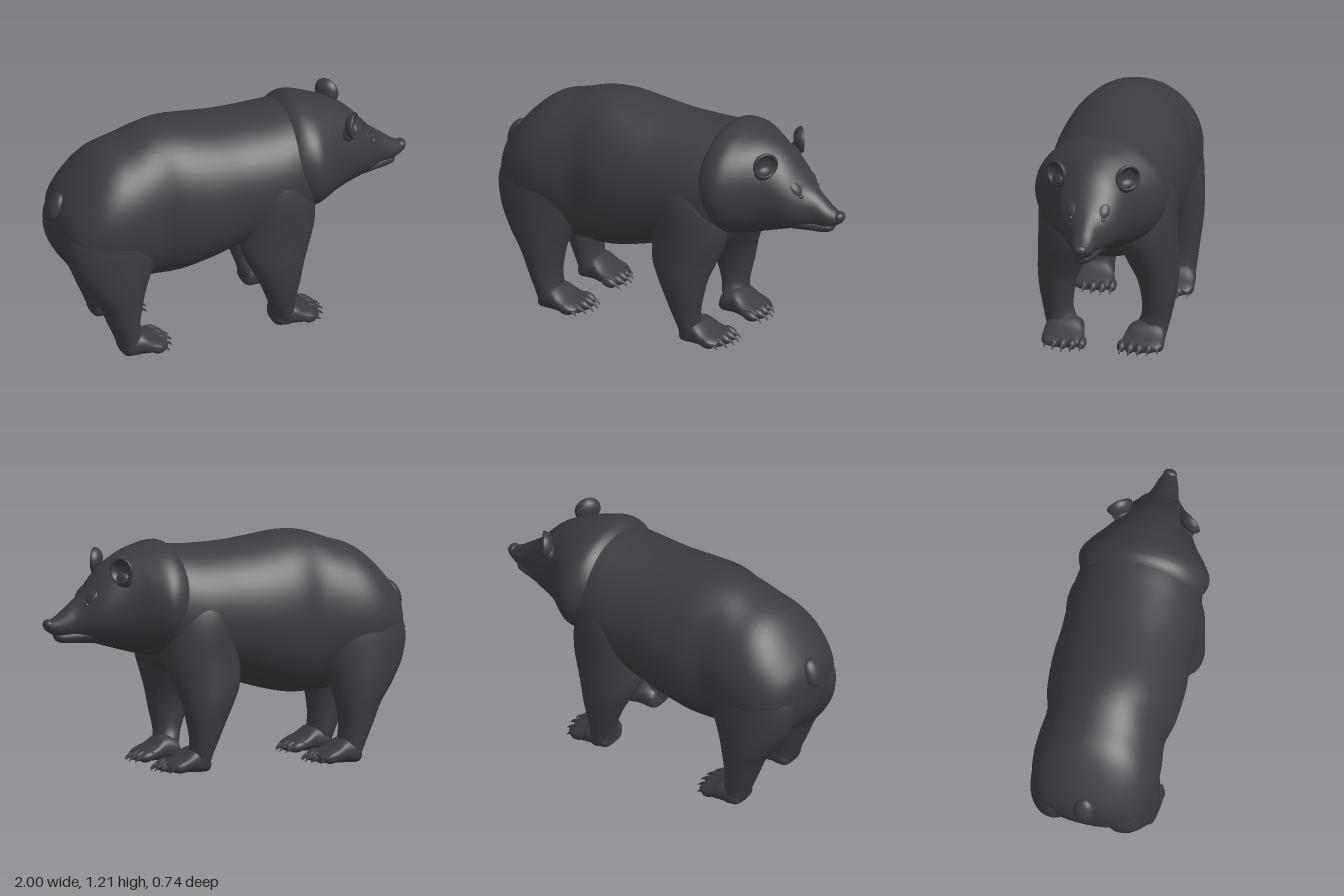
import * as THREE from 'three';

const fur = new THREE.MeshStandardMaterial({ color: 0x3c3b41 });
fur.name = 'charcoal fur';

// Catmull-Rom blend between the listed cross-sections
function resample(rows, steps) {
  const out = [];
  for (let i = 0; i < rows.length - 1; i++) {
    const [a, b, c, d] = [rows[Math.max(i - 1, 0)], rows[i], rows[i + 1], rows[Math.min(i + 2, rows.length - 1)]];
    for (let s = 0; s < steps; s++) {
      const t = s / steps;
      out.push(b.map((_, k) => b[k] + 0.5 * t * (c[k] - a[k]
        + t * (2 * a[k] - 5 * b[k] + 4 * c[k] - d[k] + t * (3 * (b[k] - c[k]) + d[k] - a[k])))));
    }
  }
  out.push(rows[rows.length - 1]);
  return out;
}

// Skin oval sections [t, uLow, uHigh, zLow, zHigh]; t runs along 'x' (u = y) or 'y' (u = x)
function loft(name, axis, rows, { power = 1, sides = 40, steps = 4 } = {}) {
  const rings = resample(rows, steps), pos = [], idx = [];
  const put = (t, u, z) => (axis === 'x' ? pos.push(t, u, z) : pos.push(u, t, z));
  const bend = v => Math.sign(v) * Math.abs(v) ** power;
  for (const [t, u0, u1, z0, z1] of rings) {
    for (let j = 0; j < sides; j++) {
      const a = (j / sides) * Math.PI * 2;
      put(t, (u0 + u1) / 2 + (u1 - u0) / 2 * bend(Math.cos(a)), (z0 + z1) / 2 + (z1 - z0) / 2 * bend(Math.sin(a)));
    }
  }
  const tri = (a, b, c) => (axis === 'x' ? idx.push(a, b, c) : idx.push(a, c, b));
  const n = rings.length;
  for (let i = 0; i < n - 1; i++) {
    for (let j = 0; j < sides; j++) {
      const k = (j + 1) % sides, a = i * sides + j, b = i * sides + k;
      tri(a, b, a + sides);
      tri(b, b + sides, a + sides);
    }
  }
  for (const i of [0, n - 1]) {
    const [t, u0, u1, z0, z1] = rings[i], m = pos.length / 3;
    put(t, (u0 + u1) / 2, (z0 + z1) / 2);
    for (let j = 0; j < sides; j++) {
      const a = i * sides + j, b = i * sides + (j + 1) % sides;
      if (i === 0) tri(m, b, a); else tri(m, a, b);
    }
  }
  const geo = new THREE.BufferGeometry();
  geo.setAttribute('position', new THREE.Float32BufferAttribute(pos, 3));
  geo.setIndex(idx);
  geo.computeVertexNormals();
  const mesh = new THREE.Mesh(geo, fur);
  mesh.name = name;
  return mesh;
}

// Sections symmetric about z = 0: [x, bottom, top, halfWidth]
const centred = rows => rows.map(([x, lo, hi, w]) => [x, lo, hi, -w, w]);
// Mirror side sections onto either flank
const flank = (rows, s) => rows.map(([t, a, b, z0, z1]) => (s > 0 ? [t, a, b, z0, z1] : [t, a, b, -z1, -z0]));

function blob(name, [x, y, z], [rx, ry, rz], tilt = 0) {
  const mesh = new THREE.Mesh(new THREE.SphereGeometry(1, 24, 16), fur);
  mesh.name = name;
  mesh.position.set(x, y, z);
  mesh.scale.set(rx, ry, rz);
  mesh.rotation.z = tilt;
  return mesh;
}

// Paw with five toes and curved claws, heel at x
function paw(name, x, s) {
  const g = new THREE.Group();
  g.name = name;
  g.add(loft('sole', 'x', flank([
    [0, 0.02, 0.07, 0.15, 0.27], [0.02, 0.006, 0.12, 0.125, 0.3], [0.09, 0.008, 0.14, 0.115, 0.315],
    [0.15, 0.01, 0.1, 0.1, 0.32], [0.2, 0.012, 0.075, 0.095, 0.318], [0.235, 0.02, 0.055, 0.12, 0.29],
  ].map(([t, ...r]) => [t + x, ...r]), s), { power: 0.8 }));
  for (let i = 0; i < 5; i++) {
    const z = s * (0.105 + i * 0.048), tx = x + 0.222 - 0.008 * (i - 1.5) ** 2;
    g.add(blob('toe', [tx, 0.042, z], [0.045, 0.026, 0.024], -0.3));
    const curve = new THREE.QuadraticBezierCurve3(new THREE.Vector3(tx + 0.015, 0.042, z),
      new THREE.Vector3(tx + 0.05, 0.042, z), new THREE.Vector3(tx + 0.07, 0.016, z));
    const geo = new THREE.TubeGeometry(curve, 8, 0.015, 8);
    const p = geo.attributes.position;
    for (let v = 0; v < p.count; v++) { // taper toward the tip
      const t = Math.floor(v / 9) / 8, c = curve.getPointAt(t);
      const q = new THREE.Vector3().fromBufferAttribute(p, v).lerp(c, t * 0.9);
      p.setXYZ(v, q.x, q.y, q.z);
    }
    geo.computeVertexNormals();
    const claw = new THREE.Mesh(geo, fur);
    claw.name = 'claw';
    g.add(claw);
  }
  return g;
}

// Rounded cupped ear: a lathed bowl opening forward, sunk into the skull
function ear(s) {
  const profile = [[0, -0.032], [0.035, -0.028], [0.058, -0.014], [0.069, 0.006], [0.068, 0.016],
    [0.06, 0.018], [0.052, 0.008], [0.04, -0.004], [0.02, -0.01], [0, -0.011]].map(p => new THREE.Vector2(...p));
  const geo = new THREE.LatheGeometry(new THREE.SplineCurve(profile).getPoints(30), 36);
  geo.rotateX(Math.PI / 2);
  const bowl = new THREE.Mesh(geo, fur);
  bowl.name = 'earBowl';
  const g = new THREE.Group();
  g.name = s > 0 ? 'rightEar' : 'leftEar';
  g.add(bowl, blob('earRoot', [0, -0.05, -0.015], [0.05, 0.04, 0.032]));
  g.position.set(0.63, 1.077, s * 0.183);
  g.rotation.y = s > 0 ? 0.95 : Math.PI - 0.95;
  return g;
}

export function createModel() {
  const bear = new THREE.Group();
  bear.name = 'bear';

  bear.add(loft('torso', 'x', centred([
    [-0.957, 0.7, 0.79, 0.06], [-0.945, 0.62, 0.85, 0.15], [-0.9, 0.51, 0.925, 0.25], [-0.8, 0.43, 1.04, 0.31],
    [-0.7, 0.39, 1.115, 0.33], [-0.58, 0.375, 1.155, 0.328], [-0.45, 0.36, 1.2, 0.315], [-0.32, 0.365, 1.21, 0.345],
    [-0.15, 0.405, 1.187, 0.355], [0, 0.45, 1.17, 0.345], [0.18, 0.47, 1.165, 0.345], [0.3, 0.5, 1.17, 0.33],
    [0.38, 0.545, 1.16, 0.305], [0.425, 0.62, 1.08, 0.22],
  ]), { sides: 56, power: 0.95 }));

  // Thick ruff running forward into skull and muzzle
  bear.add(loft('head', 'x', centred([
    [0.22, 0.82, 0.98, 0.18], [0.28, 0.7, 1.13, 0.29], [0.34, 0.62, 1.192, 0.332], [0.41, 0.598, 1.195, 0.345],
    [0.48, 0.61, 1.178, 0.305], [0.54, 0.625, 1.16, 0.255], [0.6, 0.642, 1.13, 0.215], [0.66, 0.66, 1.09, 0.188],
    [0.71, 0.675, 1.04, 0.168], [0.755, 0.69, 0.985, 0.142], [0.8, 0.702, 0.933, 0.106], [0.84, 0.71, 0.9, 0.078],
    [0.88, 0.715, 0.868, 0.066], [0.92, 0.722, 0.835, 0.056], [0.955, 0.738, 0.815, 0.043], [0.985, 0.757, 0.798, 0.028],
  ]), { sides: 48 }));
  bear.add(loft('lowerJaw', 'x', centred([
    [0.64, 0.67, 0.8, 0.11], [0.74, 0.68, 0.78, 0.095], [0.82, 0.684, 0.765, 0.07], [0.88, 0.686, 0.755, 0.052],
    [0.92, 0.695, 0.745, 0.038], [0.938, 0.712, 0.738, 0.015],
  ])));
  bear.add(blob('nose', [0.972, 0.788, 0], [0.028, 0.028, 0.036], -0.3));
  bear.add(blob('tail', [-0.948, 0.835, 0], [0.04, 0.08, 0.056], -0.4));

  const foreleg = [
    [1.05, 0.13, 0.24, 0.12, 0.21], [0.95, 0.06, 0.31, 0.07, 0.3], [0.86, 0.02, 0.365, 0.04, 0.344],
    [0.75, -0.005, 0.405, 0.03, 0.361],
    [0.6, -0.005, 0.405, 0.05, 0.363], [0.47, 0.002, 0.362, 0.1, 0.368], [0.38, 0.04, 0.328, 0.145, 0.37],
    [0.28, 0.088, 0.305, 0.175, 0.36], [0.17, 0.132, 0.282, 0.18, 0.338], [0.1, 0.155, 0.285, 0.15, 0.322],
    [0.03, 0.172, 0.285, 0.14, 0.305],
  ];
  const hindleg = [
    [1, -0.76, -0.58, 0.1, 0.2], [0.85, -0.87, -0.48, 0.04, 0.292], [0.7, -0.942, -0.43, 0.02, 0.325],
    [0.55, -0.926, -0.465, 0.03, 0.335], [0.42, -0.86, -0.52, 0.06, 0.338], [0.32, -0.792, -0.55, 0.095, 0.332],
    [0.2, -0.742, -0.568, 0.112, 0.318], [0.1, -0.7, -0.56, 0.12, 0.308], [0.03, -0.674, -0.56, 0.13, 0.3],
  ];
  for (const s of [1, -1]) {
    const side = s > 0 ? 'right' : 'left';
    bear.add(loft(side + 'Foreleg', 'y', flank([...foreleg].reverse(), s)));
    bear.add(loft(side + 'HindLeg', 'y', flank([...hindleg].reverse(), s)));
    bear.add(paw(side + 'ForePaw', 0.17, s), paw(side + 'HindPaw', -0.67, s), ear(s));
    bear.add(blob(side + 'Eye', [0.789, 0.893, s * 0.083], [0.014, 0.012, 0.014]));
    bear.add(blob(side + 'Brow', [0.745, 0.932, s * 0.07], [0.06, 0.03, 0.045], -0.8));
  }
  return bear;
}
